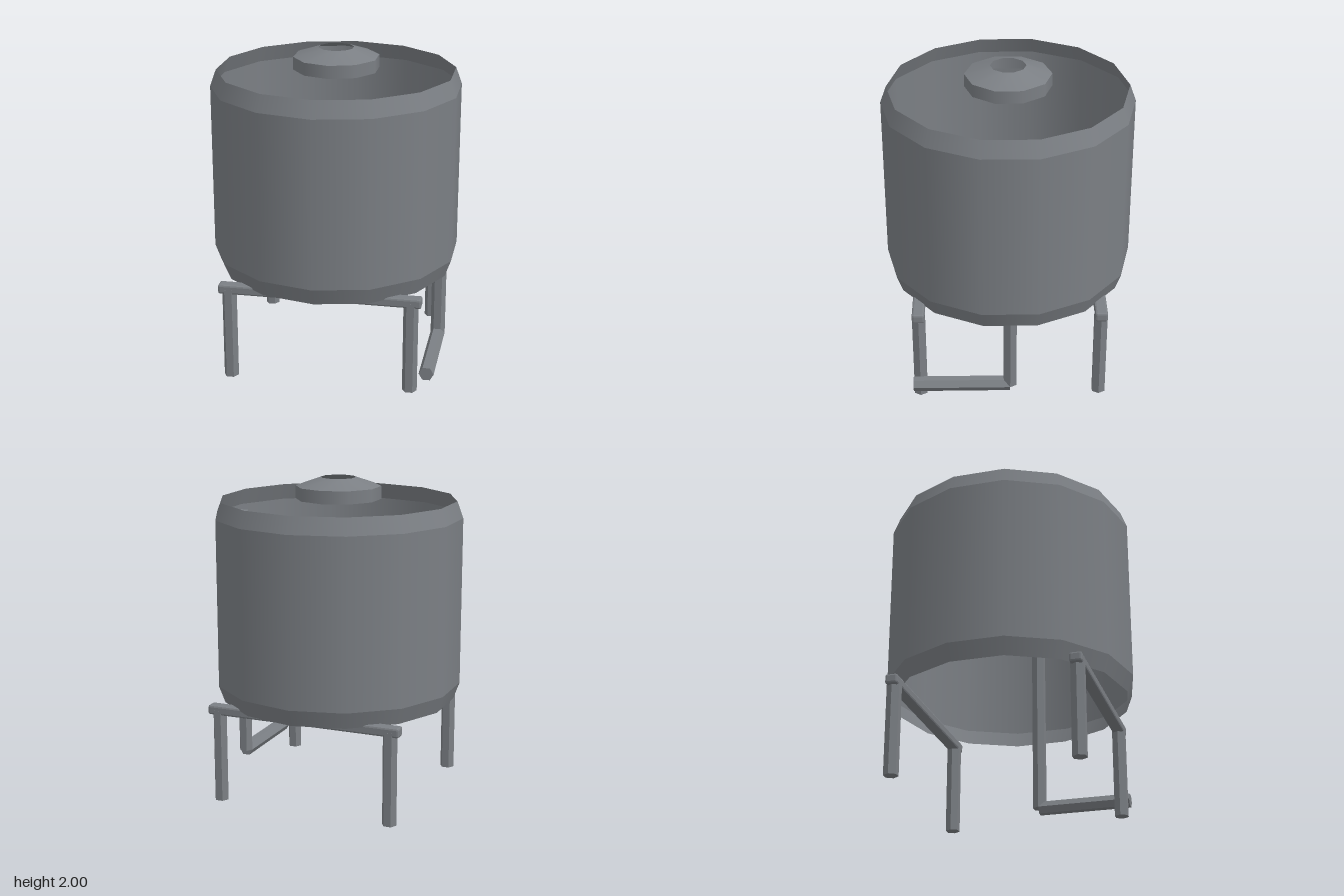
import * as THREE from 'three';
import { RoundedBoxGeometry } from 'three/addons/geometries/RoundedBoxGeometry.js';

const STEEL = 0x7b7f84;
const shellMat = new THREE.MeshStandardMaterial({ color: STEEL, side: THREE.DoubleSide });
const barMat = new THREE.MeshStandardMaterial({ color: STEEL, flatShading: true });

// Open shell made of stacked smooth bands with a crisp edge between them
function bandedShell(name, profile, sides) {
  const group = new THREE.Group();
  group.name = name;
  for (let i = 0; i < profile.length - 1; i++) {
    const [r0, y0] = profile[i];
    const [r1, y1] = profile[i + 1];
    const band = new THREE.Mesh(new THREE.CylinderGeometry(r1, r0, y1 - y0, sides, 1, true), shellMat);
    band.name = name + 'Band' + (i + 1);
    band.position.y = (y0 + y1) / 2;
    group.add(band);
  }
  return group;
}

// Upright hexagonal bar with its corners pointing along x
function hexBar(name, length) {
  const geo = new THREE.CylinderGeometry(0.046, 0.046, length, 6);
  geo.rotateY(Math.PI / 6);
  const mesh = new THREE.Mesh(geo, barMat);
  mesh.name = name;
  return mesh;
}

export function createModel() {
  const model = new THREE.Group();
  model.name = 'waterTank';

  // Tank wall, open above and below, with bevelled rims
  model.add(bandedShell('tankWall', [[0.74, 0.606], [0.778, 0.712], [0.778, 1.762], [0.74, 1.866]], 14));

  // Hatch with a sloped top and an open centre
  model.add(bandedShell('hatch', [[0.267, 1.866], [0.267, 1.946], [0.11, 2.0]], 10));

  // Stand: a cross beam and two legs at front and back
  for (const [side, sz] of [['front', 1], ['back', -1]]) {
    const beam = new THREE.Mesh(new RoundedBoxGeometry(1.258, 0.06, 0.077, 1, 0.012), barMat);
    beam.name = side + 'Beam';
    beam.position.set(0, 0.591, sz * 0.563);
    model.add(beam);
    for (const [hand, sx] of [['Left', 1], ['Right', -1]]) {
      const leg = hexBar(side + hand + 'Leg', 0.59);
      leg.position.set(sx * 0.564, 0.295, sz * 0.563);
      model.add(leg);
    }
  }

  // Drain pipe: a riser inside the tank and an outlet running forward
  const pipe = new THREE.Group();
  pipe.name = 'drainPipe';
  const riser = hexBar('pipeRiser', 1.615);
  riser.position.set(0.67, 0.136 + 1.615 / 2, 0);
  const outlet = hexBar('pipeOutlet', 0.602);
  outlet.rotation.x = Math.PI / 2;
  outlet.position.set(0.67, 0.136, 0.301);
  pipe.add(riser, outlet);
  model.add(pipe);

  return model;
}
